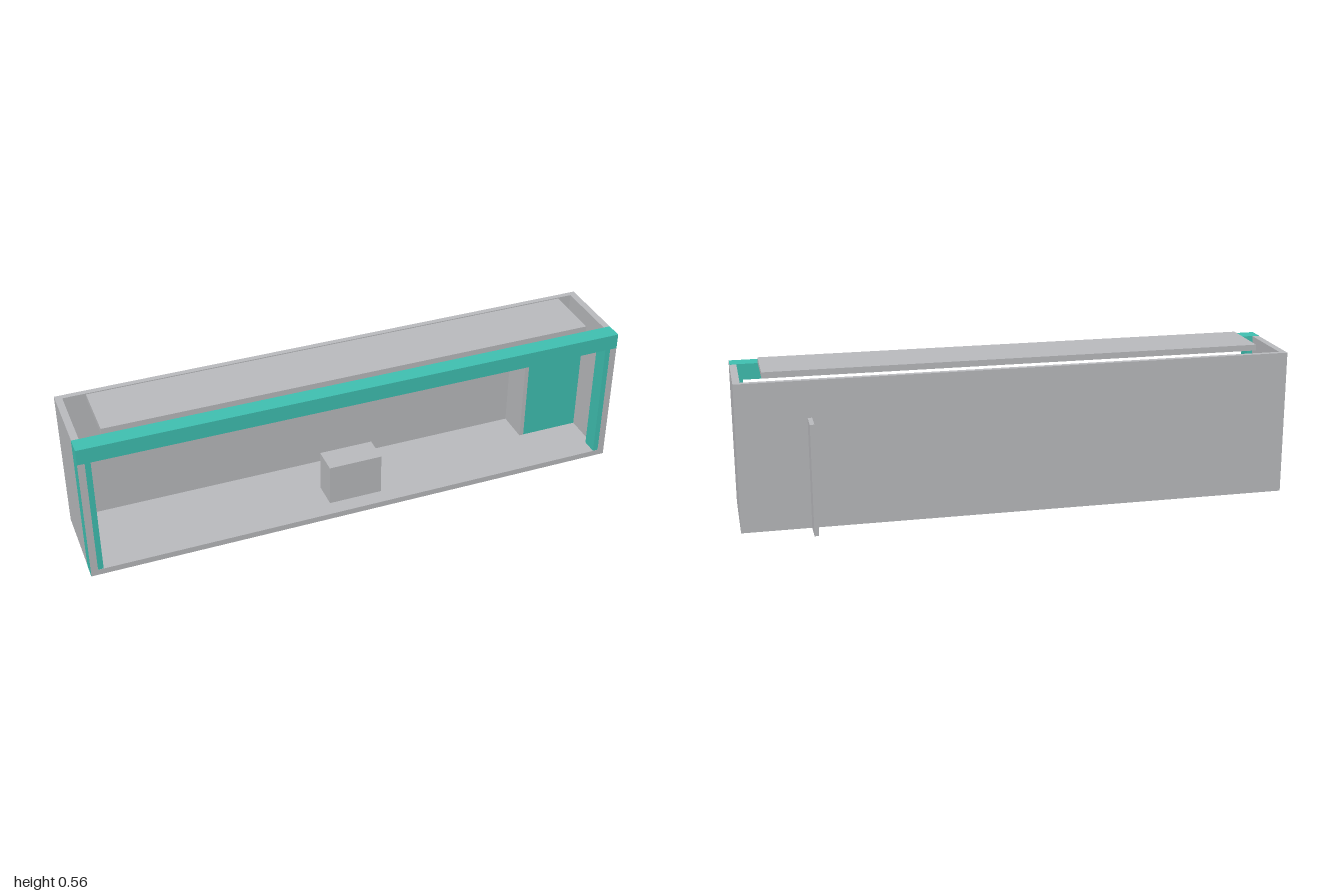
import * as THREE from 'three';

export function createModel() {
  const model = new THREE.Group();
  model.name = 'openFrontRoom';

  const grey = new THREE.MeshStandardMaterial({ color: 0xbbbcbf });
  grey.name = 'wall grey';
  const teal = new THREE.MeshStandardMaterial({ color: 0x40c2b3 });
  teal.name = 'trim teal';

  // Box given by its min and max along each axis
  function block(name, material, [x0, x1], [y0, y1], [z0, z1]) {
    const mesh = new THREE.Mesh(new THREE.BoxGeometry(x1 - x0, y1 - y0, z1 - z0), material);
    mesh.position.set((x0 + x1) / 2, (y0 + y1) / 2, (z0 + z1) / 2);
    mesh.name = name;
    model.add(mesh);
  }

  // Room shell, open at the front and top
  block('floor', grey, [-1, 1], [0, 0.022], [-0.125, 0.21]);
  block('backWall', grey, [-1, 1], [0, 0.535], [-0.125, -0.105]);
  block('rightWall', grey, [-1, -0.975], [0.022, 0.535], [-0.105, 0.21]);
  block('leftWall', grey, [0.975, 1], [0.022, 0.535], [-0.105, 0.21]);

  // Front frame: two columns and a lintel
  block('rightColumn', teal, [-1.0008, -0.955], [0.001, 0.535], [0.15, 0.209]);
  block('leftColumn', teal, [0.955, 0.9992], [0.001, 0.535], [0.15, 0.209]);
  block('lintel', teal, [-1.0008, 0.9992], [0.478, 0.536], [0.15, 0.212]);

  // Flat roof panel resting at wall height
  block('roofPanel', grey, [-0.9, 0.9], [0.535, 0.557], [-0.067, 0.15]);

  // Counter block standing on the floor
  block('counter', grey, [-0.1, 0.1], [0.022, 0.18], [0.05, 0.15]);

  // Partition running through the back wall, with a screen beside it
  block('partition', grey, [0.738, 0.754], [0, 0.402], [-0.21, 0.017]);
  block('screen', teal, [0.754, 0.975], [0.022, 0.402], [0, 0.016]);

  return model;
}
